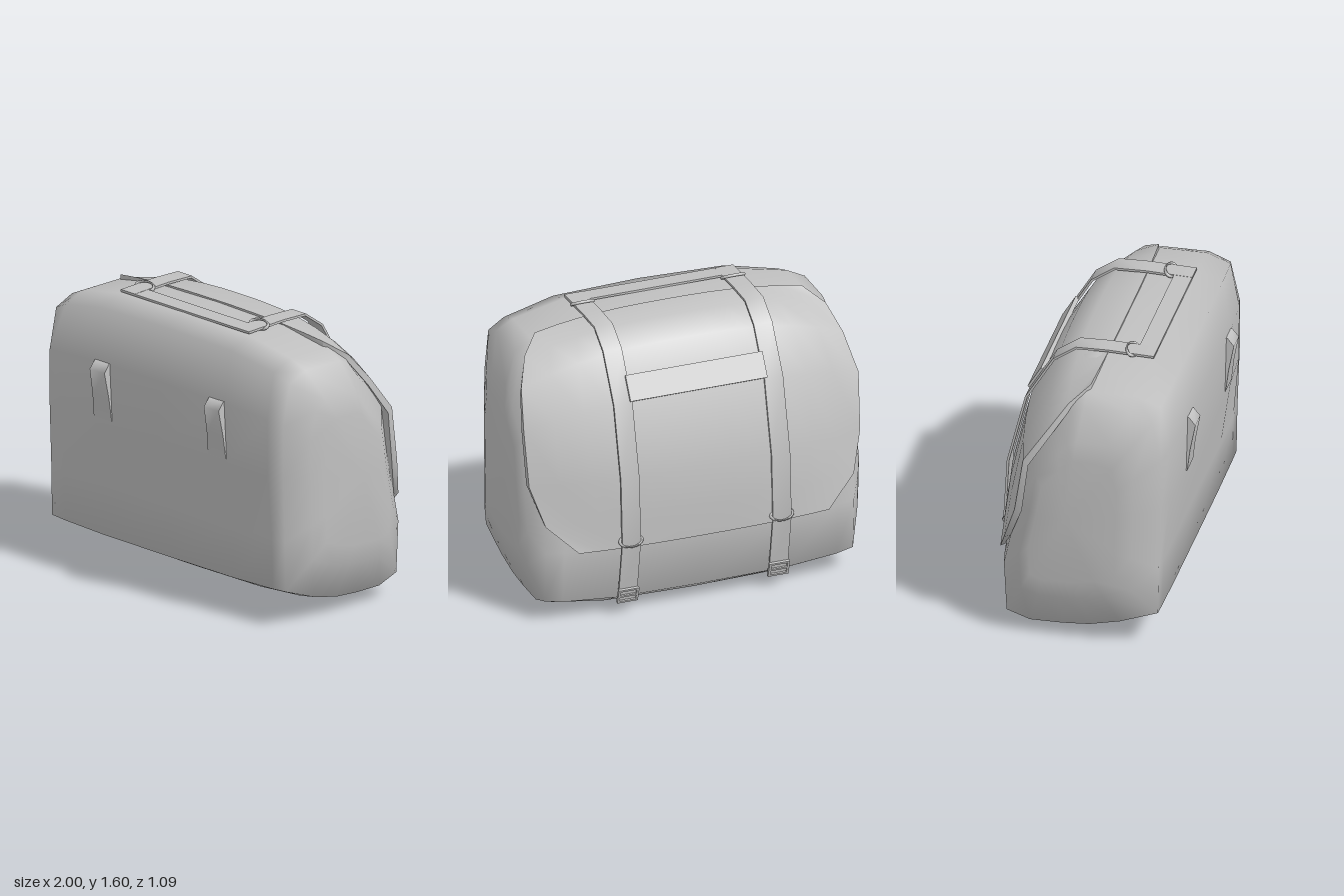
import * as THREE from 'three';
import { mergeVertices, toCreasedNormals } from 'three/addons/utils/BufferGeometryUtils.js';

const grey = new THREE.MeshStandardMaterial({ color: 0xc0c0c0 });
grey.name = 'grey cloth';
const lerp = THREE.MathUtils.lerp;

// Closed skin over rings that all hold the same number of [x, y, z] points
function loft(rings) {
  const n = rings[0].length, index = [];
  for (let i = 0; i < rings.length - 1; i++) {
    for (let j = 0; j < n; j++) {
      const k = (j + 1) % n;
      const a = i * n + j, b = i * n + k, c = b + n, d = a + n;
      index.push(a, d, c, a, c, b);
    }
  }
  const g = new THREE.BufferGeometry();
  g.setAttribute('position', new THREE.Float32BufferAttribute(rings.flat(2), 3));
  g.setIndex(index);
  return g;
}

// Extrude a (z, y) outline across x, centred on x = 0
function acrossX(outline, width) {
  const shape = new THREE.Shape(outline.map(([z, y]) => new THREE.Vector2(z, y)));
  const g = new THREE.ExtrudeGeometry(shape, { depth: width, bevelEnabled: false });
  return g.translate(0, 0, -width / 2).rotateY(-Math.PI / 2);
}

// Flat band that follows a (z, y) path, thickened to its outer side
function band(path, width, thick) {
  const outer = path.map(([z, y], i) => {
    const p = path[Math.max(i - 1, 0)], q = path[Math.min(i + 1, path.length - 1)];
    const dz = q[0] - p[0], dy = q[1] - p[1], l = Math.hypot(dz, dy);
    return [z + (dy / l) * thick, y - (dz / l) * thick];
  });
  return acrossX([...path, ...outer.reverse()], width);
}

function add(parent, name, geometry, x = 0, y = 0, z = 0, tilt = 0) {
  const m = new THREE.Mesh(geometry, grey);
  m.name = name;
  m.position.set(x, y, z);
  m.rotation.x = tilt;
  parent.add(m);
}

// Side profiles (z, y): front, top, back, bottom
const middle = [
  [0.43, 0.2], [0.443, 0.5], [0.5, 0.87], [0.505, 1.22], [0.46, 1.52], [0.31, 1.568],
  [0, 1.568], [-0.11, 1.553], [-0.23, 1.463], [-0.375, 1.22], [-0.468, 0.82], [-0.478, 0.42],
  [-0.44, 0.09], [-0.29, 0.002], [-0.1, 0.008], [0.05, 0.04], [0.23, 0.1]];
const end = [
  [0.432, 0.22], [0.437, 0.5], [0.45, 0.87], [0.45, 1.17], [0.4, 1.4], [0.28, 1.45],
  [0.02, 1.445], [-0.05, 1.41], [-0.12, 1.32], [-0.295, 1.12], [-0.345, 0.8], [-0.425, 0.42],
  [-0.41, 0.13], [-0.28, 0.085], [-0.1, 0.088], [0.05, 0.1], [0.22, 0.14]];

function bodyGeometry() {
  // x, blend from middle to end profile, shrink
  const half = [[0.5, 0.1, 1], [0.8, 0.6, 1], [0.9, 1, 1], [0.965, 1, 0.72], [0.993, 1, 0.56], [1, 1, 0]];
  const stations = [...half.map(([x, t, s]) => [-x, t, s]).reverse(), [0, 0, 1], ...half];
  const g = mergeVertices(loft(stations.map(([x, t, s]) => middle.map(([z, y], j) => [
    x,
    lerp(0.79, lerp(y, end[j][1], t), s),
    lerp(-0.07, lerp(z, end[j][0], t), s)]))));
  g.computeVertexNormals();
  return g;
}

// Cover over the back: centre z, y then edge x, z, y for each row, top to hem
const flapRows = [
  [0.06, 1.576, 0.78, 0.03, 1.527],
  [-0.12, 1.57, 0.88, -0.07, 1.45],
  [-0.247, 1.485, 0.94, -0.17, 1.31],
  [-0.4, 1.23, 0.978, -0.3, 1.12],
  [-0.503, 0.82, 0.967, -0.35, 0.8],
  [-0.522, 0.6, 0.9, -0.425, 0.58],
  [-0.525, 0.42, 0.73, -0.487, 0.42]];

function flapGeometry() {
  const cols = 13;
  const rings = flapRows.map(([cz, cy, ex, ez, ey]) => {
    const outer = [];
    for (let j = 0; j < cols; j++) {
      const u = 1 - (2 * j) / (cols - 1), t = Math.abs(u) ** 2.6;
      outer.push([u * ex, lerp(cy, ey, t), lerp(cz, ez, t)]);
    }
    const inner = outer.map(([x, y, z]) => {
      const dy = 0.78 - y, dz = 0.05 - z, l = Math.hypot(dy, dz);
      return [x, y + (dy / l) * 0.04, z + (dz / l) * 0.04];
    });
    return [...outer, ...inner.reverse()];
  });
  // close the first and last rows onto their mid line
  const close = (r) => r.map((p, j) => p.map((v, k) => (v + r[r.length - 1 - j][k]) / 2));
  return toCreasedNormals(loft([close(rings[0]), ...rings, close(rings[rings.length - 1])]), 0.8);
}

// Rectangular buckle with two slots
function buckleGeometry() {
  const rect = (S, x, y, w, h) => new S([[x, y], [x + w, y], [x + w, y + h], [x, y + h]]
    .map(([a, b]) => new THREE.Vector2(a, b)));
  const shape = rect(THREE.Shape, -0.06, -0.045, 0.12, 0.09);
  for (const y of [-0.033, 0.006]) shape.holes.push(rect(THREE.Path, -0.047, y, 0.094, 0.027));
  return new THREE.ExtrudeGeometry(shape, { depth: 0.016, bevelEnabled: false }).translate(0, 0, -0.008);
}

// Wedge tab, wider at its lower end
function tabGeometry() {
  const g = acrossX([[0.46, 1.225], [0.46, 0.9], [0.5, 0.9], [0.515, 1.03], [0.543, 1.18], [0.507, 1.225]], 0.11);
  const p = g.attributes.position;
  for (let i = 0; i < p.count; i++) {
    p.setX(i, p.getX(i) * lerp(1.25, 1, (p.getY(i) - 0.9) / 0.325));
  }
  return toCreasedNormals(g, 1.2);
}

export function createModel() {
  const bag = new THREE.Group();
  bag.name = 'bag';
  add(bag, 'body', bodyGeometry());
  add(bag, 'flap', flapGeometry());

  // Long straps with their loops, buckles and front tabs
  const path = [[0.31, 1.566], [0.05, 1.572], [-0.12, 1.566], [-0.242, 1.48],
    [-0.395, 1.225], [-0.495, 0.82], [-0.515, 0.45], [-0.455, 0.09]];
  const strap = toCreasedNormals(band(path, 0.108, 0.013), 0.7);
  const loop = new THREE.TorusGeometry(0.064, 0.009, 6, 20).scale(1, 0.55, 1);
  const buckle = buckleGeometry();
  const tab = tabGeometry();
  for (const [side, x] of [['left', 0.44], ['right', -0.44]]) {
    const set = new THREE.Group();
    set.name = side + 'StrapSet';
    set.position.x = x;
    bag.add(set);
    add(set, 'strap', strap);
    add(set, 'topLoop', loop, 0, 1.578, 0.18, -1);
    add(set, 'backLoop', loop, 0, 0.46, -0.517, 0.52);
    add(set, 'buckle', buckle, 0, 0.115, -0.473, -0.3);
    add(set, 'frontTab', tab);
  }

  // Bands joining the two straps
  add(bag, 'topBand', band([[0.31, 1.566], [0.208, 1.568]], 0.98, 0.012));
  add(bag, 'backBand', band([[-0.32, 1.355], [-0.395, 1.23]], 0.8, 0.024));
  return bag;
}
